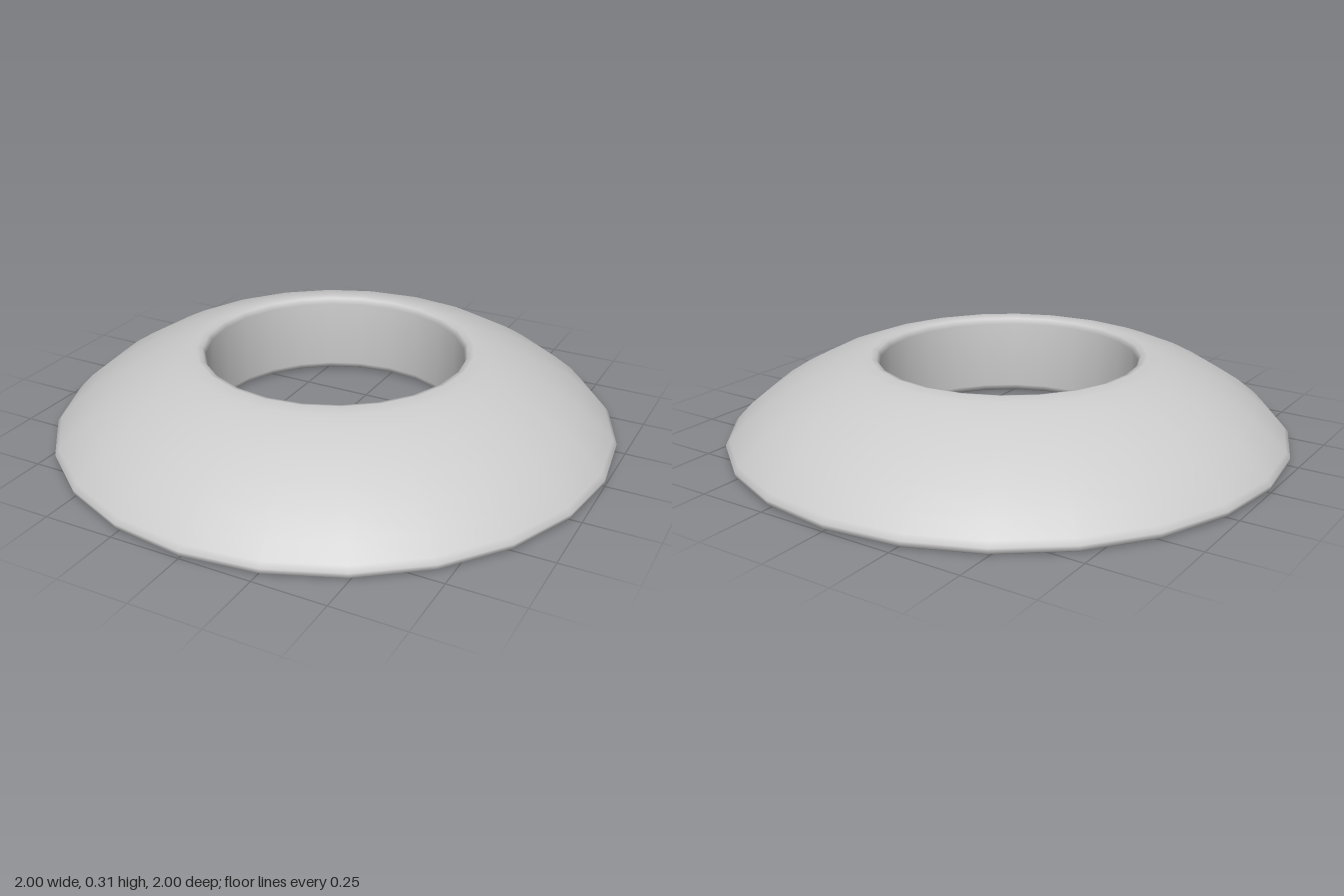
import * as THREE from 'three';

export function createModel() {
  const group = new THREE.Group();

  // Closed cross-section: [radius, height], starting halfway up the bore wall
  const profile = [
    [0.457, 0.15], [0.457, 0.03], [0.465, 0.01], [0.485, 0], // bore and its rounded lower edge
    [0.55, 0], [0.95, 0], [0.985, 0], [0.997, 0.008], [1, 0.025], // flat underside and outer rim
    [0.985, 0.042], [0.94, 0.09], [0.87, 0.146], [0.79, 0.197], // domed upper side
    [0.7, 0.245], [0.61, 0.28], [0.54, 0.3], [0.49, 0.306],
    [0.468, 0.3], [0.457, 0.28], [0.457, 0.15], // rounded upper edge of the bore
  ].map(([r, y]) => new THREE.Vector2(r, y));

  const ring = new THREE.Mesh(
    new THREE.LatheGeometry(profile, 24),
    new THREE.MeshStandardMaterial({ color: 0xcccccc })
  );
  ring.name = 'domedRing';
  group.add(ring);
  return group;
}
